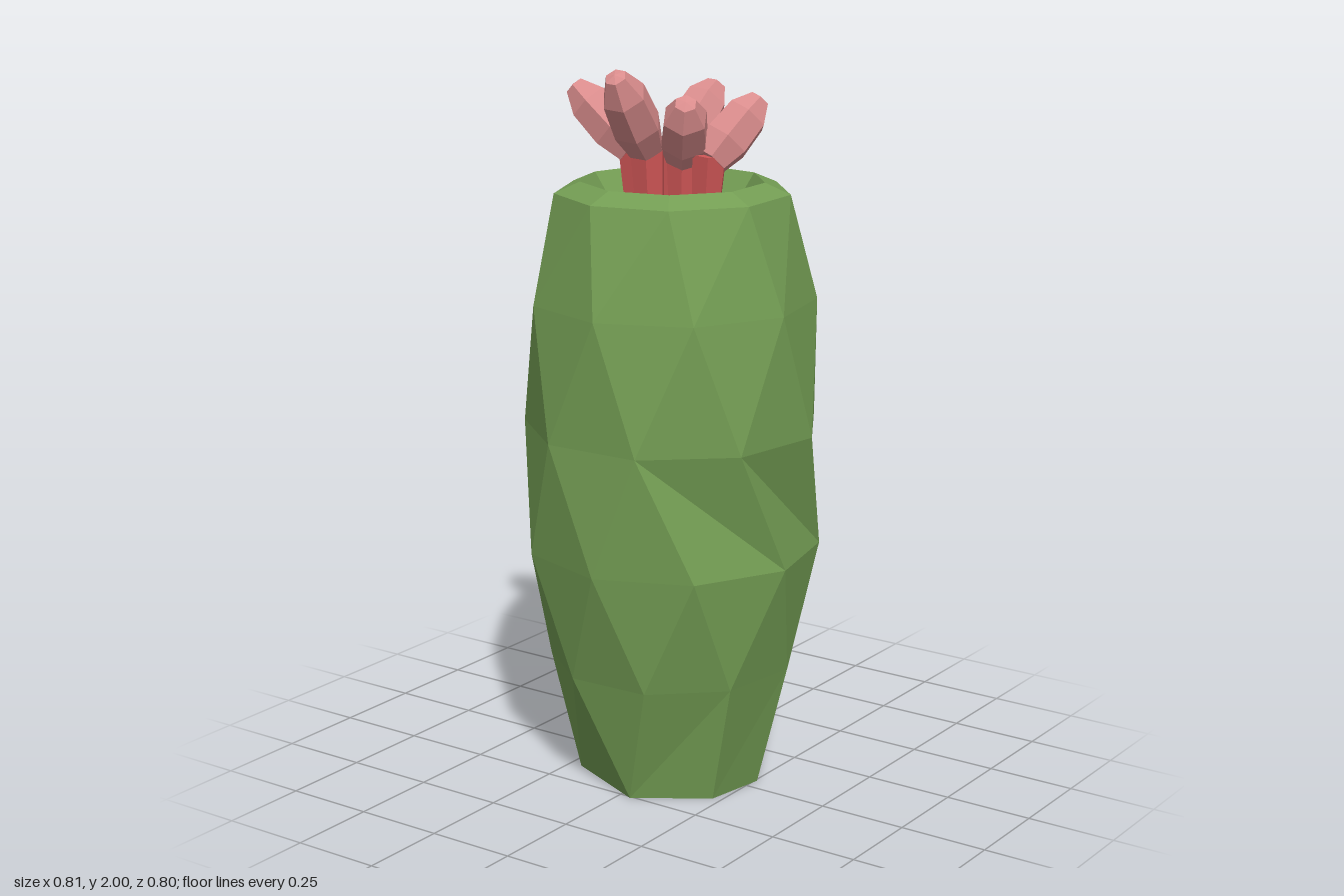
import * as THREE from 'three';

const green = new THREE.MeshStandardMaterial({ color: 0x749e54 });
green.name = 'cactusGreen';
const pink = new THREE.MeshStandardMaterial({ color: 0xd98c8c });
pink.name = 'petalPink';
const red = new THREE.MeshStandardMaterial({ color: 0xcf5656 });
red.name = 'stemRed';

const SIDES = 9;

// One ring of corners; angles run from +x towards +z
function ring(y, r, start, list) {
  return Array.from({ length: SIDES }, (_, k) => {
    const a = THREE.MathUtils.degToRad(list ? list[k] : start + 40 * k);
    return new THREE.Vector3(r * Math.cos(a), y, r * Math.sin(a));
  });
}

// Faceted barrel body: twisted rings from the hollow's floor over the lip to the base
function bodyGeometry() {
  const base = [292, 354, 35, 80, 120, 172, 172, 235, 292];
  const rings = [
    ring(1.52, 0, 27),
    ring(1.52, 0.14, 27),
    ring(1.68, 0.25, 27),
    ring(1.65, 0.32, 27),
    ring(1.36, 0.39, 17),
    ring(1.01, 0.408, -1),
    ring(0.67, 0.405, -23),
    ring(0.34, 0.342, -42),
    ring(0, 0.26, 0, base),
    ring(0, 0, 0),
  ];
  const pos = [];
  const tri = new THREE.Triangle();
  const face = (a, b, c) => {
    tri.set(a, b, c);
    if (tri.getArea() > 1e-6) pos.push(...a.toArray(), ...b.toArray(), ...c.toArray());
  };
  for (let i = 0; i < rings.length - 1; i++) {
    for (let k = 0; k < SIDES; k++) {
      const n = (k + 1) % SIDES;
      const [u, v] = [rings[i][k], rings[i][n]];
      const [l, m] = [rings[i + 1][k], rings[i + 1][n]];
      // Three front faces fold inwards below the widest ring
      const folded = i === 5 && k >= 1 && k <= 3;
      if (folded) {
        face(u, v, l);
        face(v, m, l);
      } else {
        face(u, v, m);
        face(u, m, l);
      }
    }
  }
  const g = new THREE.BufferGeometry();
  g.setAttribute('position', new THREE.Float32BufferAttribute(pos, 3));
  g.computeVertexNormals();
  return g;
}

// Flat-faced turned part along +y
function faceted(profile, sides) {
  const g = new THREE.LatheGeometry(profile.map(([r, y]) => new THREE.Vector2(r, y)), sides).toNonIndexed();
  g.computeVertexNormals();
  return g;
}

// Mesh that runs from one point to another, its geometry being one unit long
function between(geometry, material, name, from, to) {
  const mesh = new THREE.Mesh(geometry, material);
  const dir = to.clone().sub(from);
  mesh.name = name;
  mesh.position.copy(from);
  mesh.scale.set(1, dir.length(), 1);
  mesh.quaternion.setFromUnitVectors(new THREE.Vector3(0, 1, 0), dir.normalize());
  return mesh;
}

export function createModel() {
  const model = new THREE.Group();
  model.name = 'cactus';

  const body = new THREE.Mesh(bodyGeometry(), green);
  body.name = 'body';
  model.add(body);

  const stemShape = faceted([[0, 0], [0.036, 0], [0.05, 1], [0, 1]], 6);
  const budShape = faceted([[0, 0], [0.05, 0.02], [0.068, 0.32], [0.062, 0.72], [0.03, 0.97], [0, 1]], 6);

  // Flower buds: [joint with the stem, tip]
  const buds = [
    [[-0.02, 1.75, -0.11], [-0.055, 1.92, -0.29]],
    [[0.11, 1.75, -0.06], [0.275, 1.905, -0.045]],
    [[-0.09, 1.77, -0.02], [-0.26, 1.985, 0.0]],
    [[0.0, 1.74, 0.035], [-0.12, 1.91, 0.125]],
    [[-0.01, 1.74, 0.125], [0.13, 1.9, 0.195]],
  ];
  for (const [joint, tip] of buds) {
    const j = new THREE.Vector3(...joint);
    const foot = new THREE.Vector3(j.x * 0.85, 1.52, j.z * 0.85);
    const flower = new THREE.Group();
    flower.name = 'flower';
    const top = j.clone().setY(j.y + 0.02);
    flower.add(between(stemShape, red, 'stem', foot, top));
    flower.add(between(budShape, pink, 'bud', j, new THREE.Vector3(...tip)));
    model.add(flower);
  }
  return model;
}
